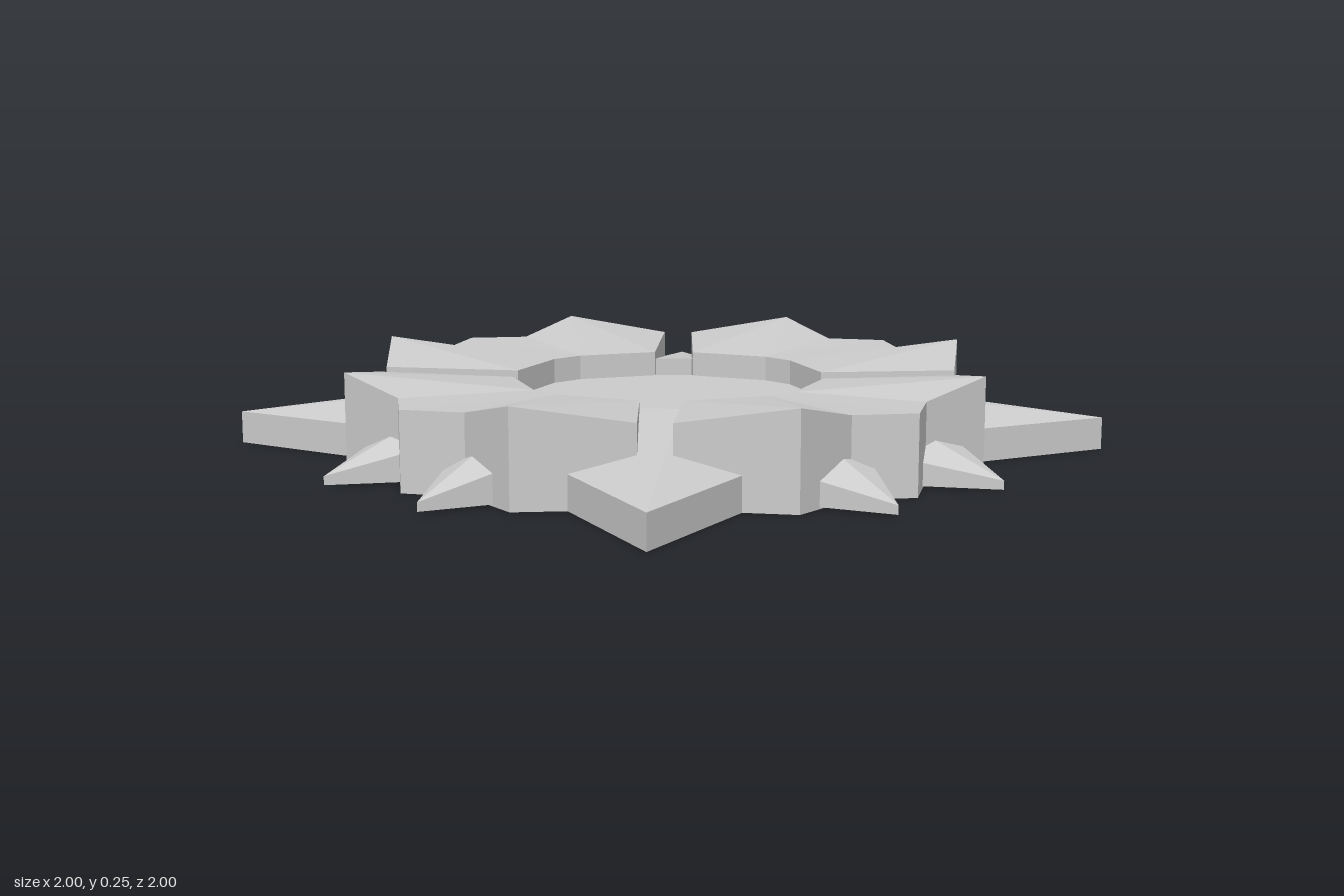
import * as THREE from 'three';
import { ConvexGeometry } from 'three/addons/geometries/ConvexGeometry.js';

const material = new THREE.MeshStandardMaterial({ color: 0xcccccc, flatShading: true });
const vec = ([x, y, z]) => new THREE.Vector3(x, y, z);

// Petal block: vertical walls under a faceted top, mirrored across x = 0
function petalGeometry() {
  const half = [
    [0.05, 0.2, 0.435], // inner rim
    [0.26, 0.2, 0.34],
    [0.53, 0.21, 0.59], // side point
    [0.345, 0.255, 0.83], // raised corner
    [0.14, 0.21, 0.805], // notch
  ];
  const mirrored = half.map(([x, y, z]) => [-x, y, z]).reverse();
  const top = [...half, [0, 0.21, 0.9], ...mirrored];
  const base = top.map(([x, , z]) => [x, 0, z]);
  const positions = [];
  const tri = (a, b, c) => positions.push(...a, ...b, ...c);

  // Faceted top
  const facets = [[0, 1, 3], [1, 2, 3], [0, 3, 4], [0, 4, 5]];
  for (const [a, b, c] of facets) {
    tri(top[c], top[b], top[a]);
    tri(top[10 - a], top[10 - b], top[10 - c]);
  }
  tri(top[10], top[5], top[0]);

  // Flat underside
  const outline = base.map(([x, , z]) => new THREE.Vector2(x, z));
  for (const face of THREE.ShapeUtils.triangulateShape(outline, [])) {
    const [a, b, c] = face.map((i) => base[i]);
    const up = (b[2] - a[2]) * (c[0] - a[0]) - (b[0] - a[0]) * (c[2] - a[2]);
    if (up < 0) tri(a, b, c);
    else tri(c, b, a);
  }

  // Walls
  for (let i = 0; i < top.length; i++) {
    const j = (i + 1) % top.length;
    tri(top[i], top[j], base[j]);
    tri(top[i], base[j], base[i]);
  }
  const geometry = new THREE.BufferGeometry();
  geometry.setAttribute('position', new THREE.Float32BufferAttribute(positions, 3));
  geometry.computeVertexNormals();
  return geometry;
}

// Large pointed leaf along the diagonal, rising toward the centre between petals
function diagonalLeafGeometry() {
  const top = [
    [0.845, 0.088, 0.845],
    [0.425, 0.09, 0.72],
    [0.72, 0.09, 0.425],
    [0.265, 0.18, 0.34],
    [0.34, 0.18, 0.265],
  ];
  return new ConvexGeometry(top.flatMap(([x, y, z]) => [vec([x, y, z]), vec([x, 0, z])]));
}

// Small thorn: five-sided root tapering to a low tip
function thornGeometry(side) {
  const cx = side * 0.17;
  return new ConvexGeometry([
    [cx - 0.11, 0.075, 0.79],
    [cx, 0.115, 0.79],
    [cx + 0.11, 0.09, 0.79],
    [cx + 0.11, 0.005, 0.79],
    [cx - 0.11, 0.005, 0.79],
    [side * 0.2 + 0.01, 0.028, 1],
    [side * 0.2 + 0.01, 0.005, 1],
  ].map(vec));
}

export function createModel() {
  const model = new THREE.Group();
  model.name = 'rosette';

  // Recessed centre plate
  const plate = new THREE.Mesh(new THREE.CylinderGeometry(0.44, 0.44, 0.06, 48), material);
  plate.name = 'centrePlate';
  plate.position.y = 0.1;
  model.add(plate);

  const parts = {
    petal: petalGeometry(),
    diagonalLeaf: diagonalLeafGeometry(),
    leftThorn: thornGeometry(1),
    rightThorn: thornGeometry(-1),
  };

  // Four identical quarters around the plate
  for (let i = 0; i < 4; i++) {
    const quarter = new THREE.Group();
    quarter.name = `quarter${i + 1}`;
    quarter.rotation.y = (i * Math.PI) / 2;
    for (const [name, geometry] of Object.entries(parts)) {
      const mesh = new THREE.Mesh(geometry, material);
      mesh.name = name;
      quarter.add(mesh);
    }
    model.add(quarter);
  }
  return model;
}
